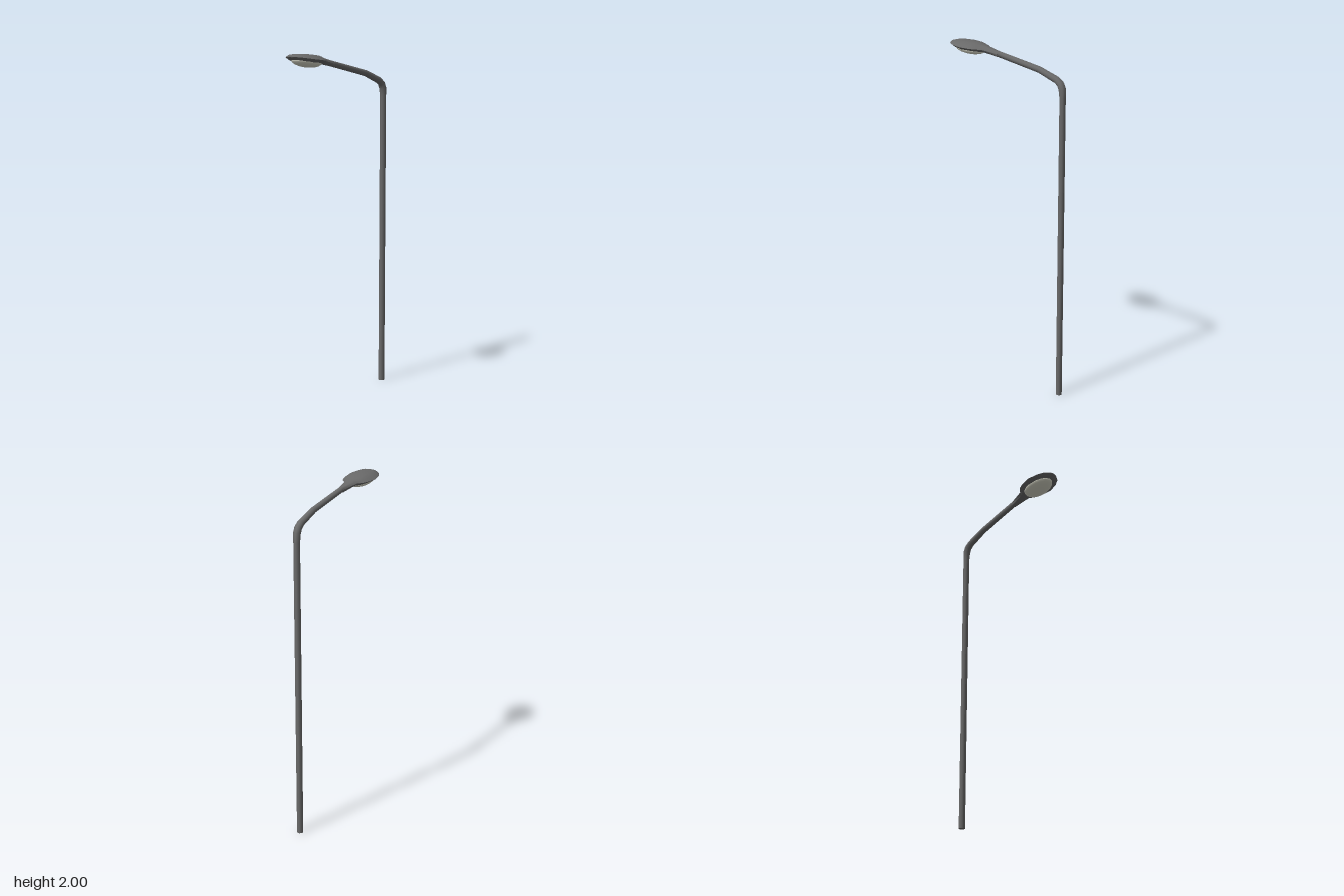
import * as THREE from 'three';
import { toCreasedNormals } from 'three/addons/utils/BufferGeometryUtils.js';

// Skin a list of rings (arrays of [x, y, z], counter-clockwise seen from the path's end), closing both ends
function loft(rings) {
  const n = rings[0].length, pos = [], idx = [];
  const center = r => [0, 1, 2].map(k => r.reduce((s, p) => s + p[k], 0) / n);
  rings.forEach(r => r.forEach(p => pos.push(...p)));
  for (let i = 0; i < rings.length - 1; i++) {
    for (let j = 0; j < n; j++) {
      const a = i * n + j, b = i * n + (j + 1) % n;
      idx.push(a, b, b + n, a, b + n, a + n);
    }
  }
  const last = (rings.length - 1) * n, c0 = rings.length * n;
  pos.push(...center(rings[0]), ...center(rings[rings.length - 1]));
  for (let j = 0; j < n; j++) {
    const k = (j + 1) % n;
    idx.push(c0, k, j, c0 + 1, last + j, last + k);
  }
  const g = new THREE.BufferGeometry();
  g.setAttribute('position', new THREE.Float32BufferAttribute(pos, 3));
  g.setIndex(idx);
  return toCreasedNormals(g, 0.9);
}

export function createModel() {
  const model = new THREE.Group();
  const metal = new THREE.MeshStandardMaterial({ color: 0x696969 });
  metal.name = 'grey metal';
  const glass = new THREE.MeshStandardMaterial({ color: 0xd6d6c6 });
  glass.name = 'pale glass';

  const add = (name, geometry, material) => {
    const mesh = new THREE.Mesh(geometry, material);
    mesh.name = name;
    model.add(mesh);
    return mesh;
  };

  // Pole and bent arm: z, y, radius along the centre line
  const path = [
    [-0.392, 0, 0.018], [-0.392, 1.74, 0.018], [-0.389, 1.79, 0.021], [-0.376, 1.818, 0.021],
    [-0.35, 1.838, 0.02], [-0.23, 1.882, 0.018], [0.07, 1.942, 0.017],
  ];
  const sides = 10;
  const tube = path.map(([z, y, r], i) => {
    const a = path[Math.max(i - 1, 0)], b = path[Math.min(i + 1, path.length - 1)];
    let dirs = [[a, path[i]], [path[i], b]].map(([p, q]) => new THREE.Vector2(q[0] - p[0], q[1] - p[1]).normalize());
    const t = dirs[0].add(dirs[1]).normalize();
    return Array.from({ length: sides }, (_, j) => {
      const u = j / sides * Math.PI * 2, s = Math.sin(u) * r;
      return [Math.cos(u) * r, y + t.x * s, z - t.y * s];
    });
  });
  add('poleAndArm', loft(tube), metal);

  // Lamp housing: z, half width, rim height, rise above the rim, drop below it
  const stations = [
    [0.06, 0.018, 1.941, 0.016, 0.016], [0.16, 0.04, 1.958, 0.019, 0.013],
    [0.19, 0.07, 1.961, 0.024, 0.014], [0.225, 0.085, 1.964, 0.029, 0.015],
    [0.285, 0.095, 1.969, 0.03, 0.016], [0.345, 0.08, 1.976, 0.024, 0.014],
    [0.38, 0.06, 1.981, 0.017, 0.011], [0.403, 0.027, 1.984, 0.008, 0.005],
    [0.41, 0.012, 1.985, 0.003, 0.002],
  ];
  const profile = [[1, 0], [0.8, 0.48], [0.5, 0.9], [0, 1], [-0.5, 0.9], [-0.8, 0.48], [-1, 0], [-0.7, -1], [0, -1.1], [0.7, -1]];
  const housing = stations.map(([z, w, y, up, down]) =>
    profile.map(([px, py]) => [px * w, y + py * (py > 0 ? up : down), z]));
  add('lampHousing', loft(housing), metal);

  // Shallow glass bowl under the housing
  const bowl = new THREE.SphereGeometry(1, 16, 6, 0, Math.PI * 2, Math.PI / 2, Math.PI / 2);
  bowl.scale(0.068, 0.031, 0.1);
  const lens = add('lens', bowl, glass);
  lens.position.set(0, 1.956, 0.277);
  lens.rotation.x = -0.12;
  return model;
}
